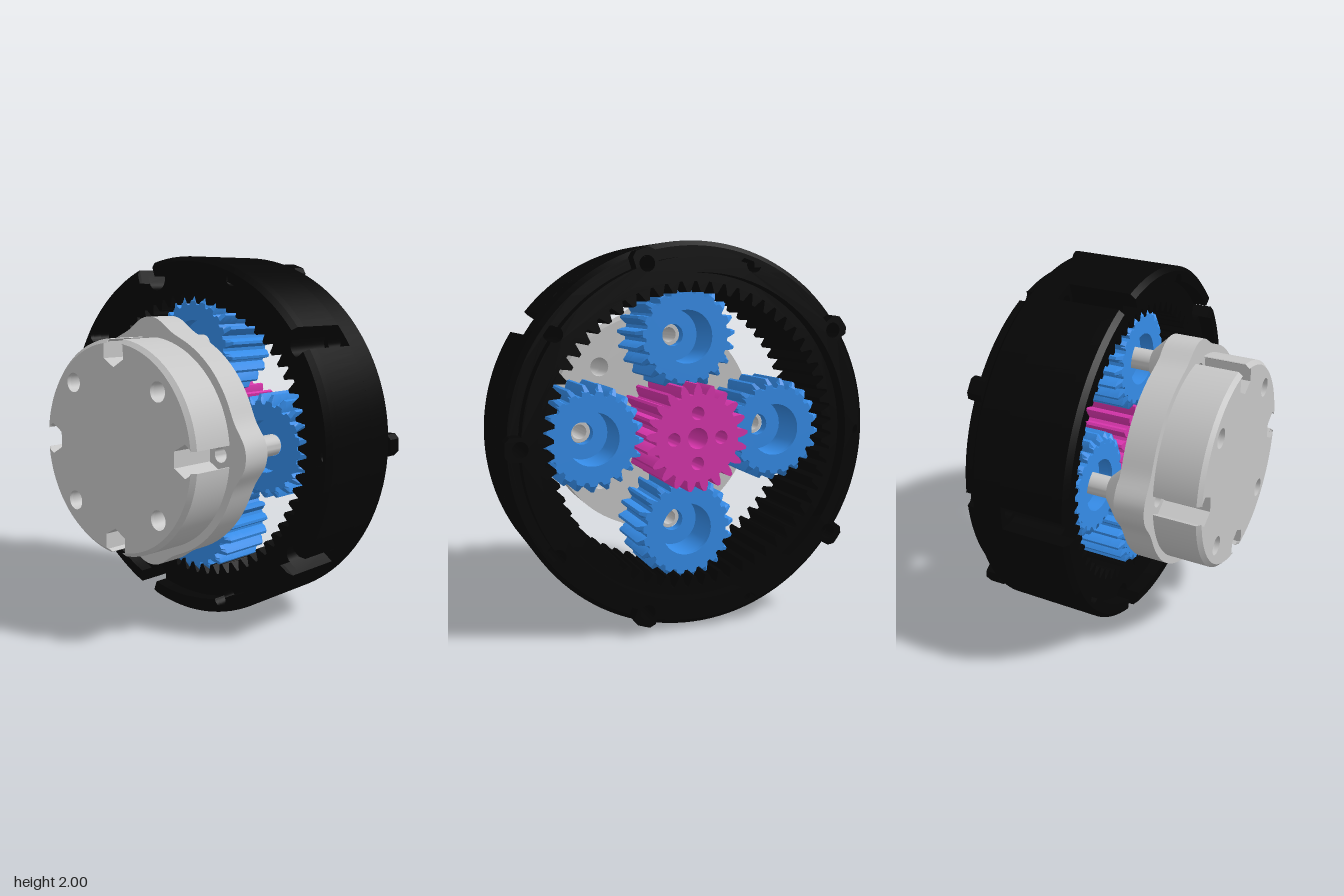
import * as THREE from 'three';
import { toCreasedNormals } from 'three/addons/utils/BufferGeometryUtils.js';

const V = (x, y) => new THREE.Vector2(x, y);
const polar = (r, a) => V(r * Math.cos(a), r * Math.sin(a));
const TAU = Math.PI * 2;
const deg = Math.PI / 180;

function arc(r, a0, a1, n) {
  return Array.from({ length: n + 1 }, (_, i) => polar(r, a0 + (a1 - a0) * i / n));
}
function circle(r, x = 0, y = 0, n = 32) {
  return arc(r, 0, TAU, n).slice(0, n).map(p => V(p.x + x, p.y + y));
}
// Points given along the +x axis, turned to angle a
const turn = (pts, a) => pts.map(p => p.clone().rotateAround(V(0, 0), a));
const shifted = (pts, x) => pts.map(p => V(p.x + x, p.y));
// A row of equal holes around the axis
function holeRing(r, dist, count, start = 0) {
  return Array.from({ length: count }, (_, i) => {
    const c = polar(dist, start + i * TAU / count);
    return circle(r, c.x, c.y, 28);
  });
}

// Extruded plate between two z levels; a chamfer pulls one end in to a largest radius
function plate(outer, holes, z0, z1, chamfer) {
  const shape = new THREE.Shape(outer);
  holes.forEach(h => shape.holes.push(new THREE.Path(h)));
  const geo = new THREE.ExtrudeGeometry(shape, { depth: z1 - z0, bevelEnabled: false });
  geo.translate(0, 0, z0);
  if (chamfer) {
    const p = geo.attributes.position;
    for (let i = 0; i < p.count; i++) {
      const r = Math.hypot(p.getX(i), p.getY(i));
      if (r > chamfer.r && Math.abs(p.getZ(i) - chamfer.z) < 1e-4) {
        const k = chamfer.r / r;
        p.setXY(i, p.getX(i) * k, p.getY(i) * k);
      }
    }
  }
  return toCreasedNormals(geo, 0.5);
}

// Tooth outline: fractions of one pitch around the tooth middle
function gear(teeth, root, pitch, tip, phase = 0) {
  const steps = [[-0.37, root], [-0.25, pitch], [-0.09, tip], [0.09, tip], [0.25, pitch], [0.37, root]];
  const pts = [];
  for (let i = 0; i < teeth; i++)
    for (const [f, r] of steps) pts.push(polar(r, phase + (i + f) * TAU / teeth));
  return pts;
}

export function createModel() {
  const model = new THREE.Group();
  model.name = 'planetaryGearStage';
  const mat = (name, color) => {
    const m = new THREE.MeshStandardMaterial({ color });
    m.name = name;
    return m;
  };
  const black = mat('black', 0x050505);
  const grey = mat('grey', 0xc6c6c6);
  const blue = mat('blue', 0x358ce8);
  const magenta = mat('magenta', 0xd835ac);
  const group = name => {
    const g = new THREE.Group();
    g.name = name;
    g.position.y = 1;
    model.add(g);
    return g;
  };
  const add = (parent, name, geo, material) => {
    const m = new THREE.Mesh(geo, material);
    m.name = name;
    parent.add(m);
  };

  // ---- Ring gear housing ----
  const ring = group('ringGear');
  const step = TAU / 5, half = step / 2;
  const innerTeeth = gear(63, 0.744, 0.768, 0.798, Math.PI / 2);

  // Front lip: five segments between the notches
  const lip = [
    ...arc(1, -half + 0.065, half - 0.065, 24),
    ...arc(0.92, half - 0.0707, 0.045, 10),
    ...shifted(arc(0.04, Math.PI / 2, -Math.PI / 2, 14), 0.925),
    ...arc(0.92, -0.045, -half + 0.0707, 10),
  ];
  for (let i = 0; i < 5; i++) {
    const seg = turn(lip, i * step);
    add(ring, 'frontLip', plate(seg, [], -0.02, 0.035), black);
    add(ring, 'frontLipEdge', plate(seg, [], 0.035, 0.06, { z: 0.06, r: 0.975 }), black);
  }

  // Toothed body with notches open to the outside
  const notched = [];
  for (let i = 0; i < 5; i++) {
    notched.push(...turn([
      ...arc(1, -half + 0.065, half - 0.065, 24),
      ...turn(shifted(arc(0.065, -Math.PI / 2, -Math.PI * 1.5, 12), 0.925), half),
    ], i * step));
  }
  add(ring, 'notchedBody', plate(notched, [innerTeeth, ...holeRing(0.04, 0.925, 5)], -0.31, -0.02), black);

  const full = circle(1, 0, 0, 120);
  const bolts = holeRing(0.04, 0.925, 10);
  add(ring, 'toothedBody', plate(full, [innerTeeth, ...bolts], -0.465, -0.31), black);
  add(ring, 'backEdge', plate(full, [innerTeeth, ...bolts], -0.49, -0.465, { z: -0.49, r: 0.975 }), black);

  // Raised back rim with five lugs
  const rim = [];
  for (let i = 0; i < 5; i++) {
    rim.push(...turn([
      V(0.918, -0.06), V(0.975, -0.06), V(0.999, -0.035), V(1, 0), V(0.999, 0.035), V(0.975, 0.06), V(0.918, 0.06),
      ...arc(0.92, 0.07, half - 0.045, 14),
      ...turn(shifted(arc(0.04, -Math.PI / 2, -Math.PI * 1.5, 14), 0.925), half),
      ...arc(0.92, half + 0.045, step - 0.07, 14),
    ], i * step));
  }
  add(ring, 'backRim', plate(rim, [circle(0.84, 0, 0, 96), ...holeRing(0.04, 0.925, 5)], -0.57, -0.49), black);

  // ---- Sun gear ----
  const sun = group('sunGear');
  add(sun, 'sunTeeth', plate(gear(21, 0.226, 0.256, 0.28, Math.PI / 2),
    [circle(0.055), ...holeRing(0.035, 0.13, 4)], -0.53, -0.02), magenta);

  // ---- Planet gears and their axles ----
  const planets = group('planetGears');
  const axle = new THREE.LatheGeometry([
    V(0.04, -0.1), V(0.058, -0.1), V(0.058, 0.055), V(0.075, 0.055), V(0.165, 0.145), V(0.165, 0.16), V(0.04, 0.16), V(0.04, -0.1),
  ], 40);
  axle.rotateX(Math.PI / 2);
  const axleGeo = toCreasedNormals(axle, 0.5);
  for (let i = 0; i < 4; i++) {
    const a = i * Math.PI / 2;
    const planet = new THREE.Group();
    planet.name = 'planet';
    const c = polar(0.513, a);
    planet.position.set(c.x, c.y, 0);
    planets.add(planet);
    const teeth = gear(21, 0.226, 0.256, 0.28, a + 3 * (Math.PI / 2 - a));
    const pocket = [circle(0.14)];
    add(planet, 'planetFrontEdge', plate(teeth, pocket, -0.045, -0.02, { z: -0.02, r: 0.245 }), blue);
    add(planet, 'planetFront', plate(teeth, pocket, -0.1, -0.045), blue);
    add(planet, 'planetWeb', plate(teeth, [circle(0.06)], -0.16, -0.1), blue);
    add(planet, 'planetBack', plate(teeth, pocket, -0.355, -0.16), blue);
    add(planet, 'planetBackEdge', plate(teeth, pocket, -0.38, -0.355, { z: -0.38, r: 0.245 }), blue);
    add(planet, 'axle', axleGeo, grey);
  }

  // ---- Carrier ----
  const carrier = group('carrier');
  const mounts = holeRing(0.053, 0.46, 4, Math.PI / 4);
  // Flange swelling outwards over each axle
  const flange = Array.from({ length: 144 }, (_, i) => {
    const a = i * TAU / 144;
    const d = Math.abs(a - Math.round(a / (Math.PI / 2)) * Math.PI / 2);
    return polar(0.618 + 0.062 * Math.exp(-((d / 0.2) ** 2.5)), a);
  });
  add(carrier, 'flange', plate(flange, [...holeRing(0.04, 0.513, 4), ...mounts], 0.15, 0.315), grey);

  // Boss outline with four hexagonal nut pockets breaking through the rim
  const boss = [];
  for (let i = 0; i < 4; i++) {
    const phi = i * 90, c = polar(0.513, phi * deg);
    for (let s = 0; s <= 360; s += 2.5) {
      const a = phi - s;
      const r = 0.074 / Math.cos(((((a + 30) % 60) + 60) % 60 - 30) * deg);
      const p = polar(r, a * deg).add(c);
      if (p.length() < 0.572) boss.push(p);
    }
    boss.push(...arc(0.575, phi * deg + 0.096, (phi + 90) * deg - 0.096, 30));
  }
  add(carrier, 'boss', plate(boss, mounts, 0.315, 0.551), grey);
  add(carrier, 'bossEdge', plate(boss, mounts, 0.551, 0.573, { z: 0.573, r: 0.553 }), grey);

  return model;
}
